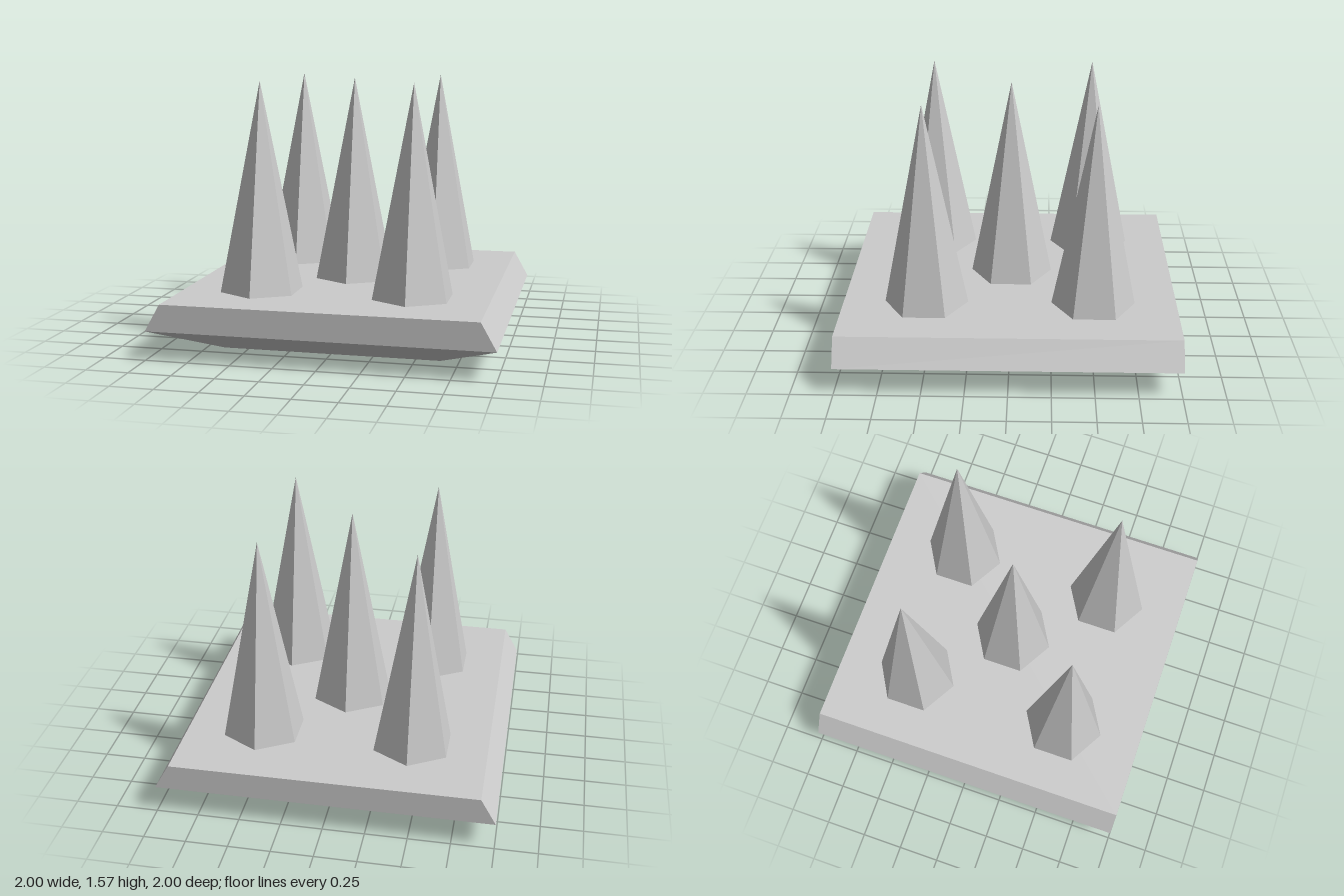
import * as THREE from 'three';

const material = new THREE.MeshStandardMaterial({ color: 0xcccccc, flatShading: true });
const TOP = 0.33;
const APEX = 1.57;

// Plate: a box with one middle ring, each level scaled to its own half-width (x) and half-depth (z)
function createPlate() {
  const levels = [
    { y: 0, x: 0.643, z: 0.643 },
    { y: 0.17, x: 1, z: 1 },
    { y: TOP, x: 0.91, z: 1 },
  ];
  const box = new THREE.BoxGeometry(2, 2, 2, 1, 2, 1);
  const p = box.attributes.position;
  for (let i = 0; i < p.count; i++) {
    const level = levels[Math.round(p.getY(i)) + 1];
    p.setXYZ(i, p.getX(i) * level.x, level.y, p.getZ(i) * level.z);
  }
  const geometry = box.toNonIndexed();
  geometry.computeVertexNormals();
  const plate = new THREE.Mesh(geometry, material);
  plate.name = 'basePlate';
  return plate;
}

export function createModel() {
  const model = new THREE.Group();
  model.name = 'spikeTrap';
  model.add(createPlate());

  // Five hexagonal spikes: one in the centre and one towards each corner
  const height = APEX - TOP;
  const spikeGeometry = new THREE.ConeGeometry(0.25, height, 6).toNonIndexed();
  spikeGeometry.computeVertexNormals();
  const spikes = [
    ['centreSpike', 0, 0],
    ['frontLeftSpike', 1, 1],
    ['frontRightSpike', -1, 1],
    ['backLeftSpike', 1, -1],
    ['backRightSpike', -1, -1],
  ];
  for (const [name, sx, sz] of spikes) {
    const spike = new THREE.Mesh(spikeGeometry, material);
    spike.name = name;
    spike.position.set(sx * 0.455, TOP + height / 2, sz * 0.5);
    model.add(spike);
  }
  return model;
}
